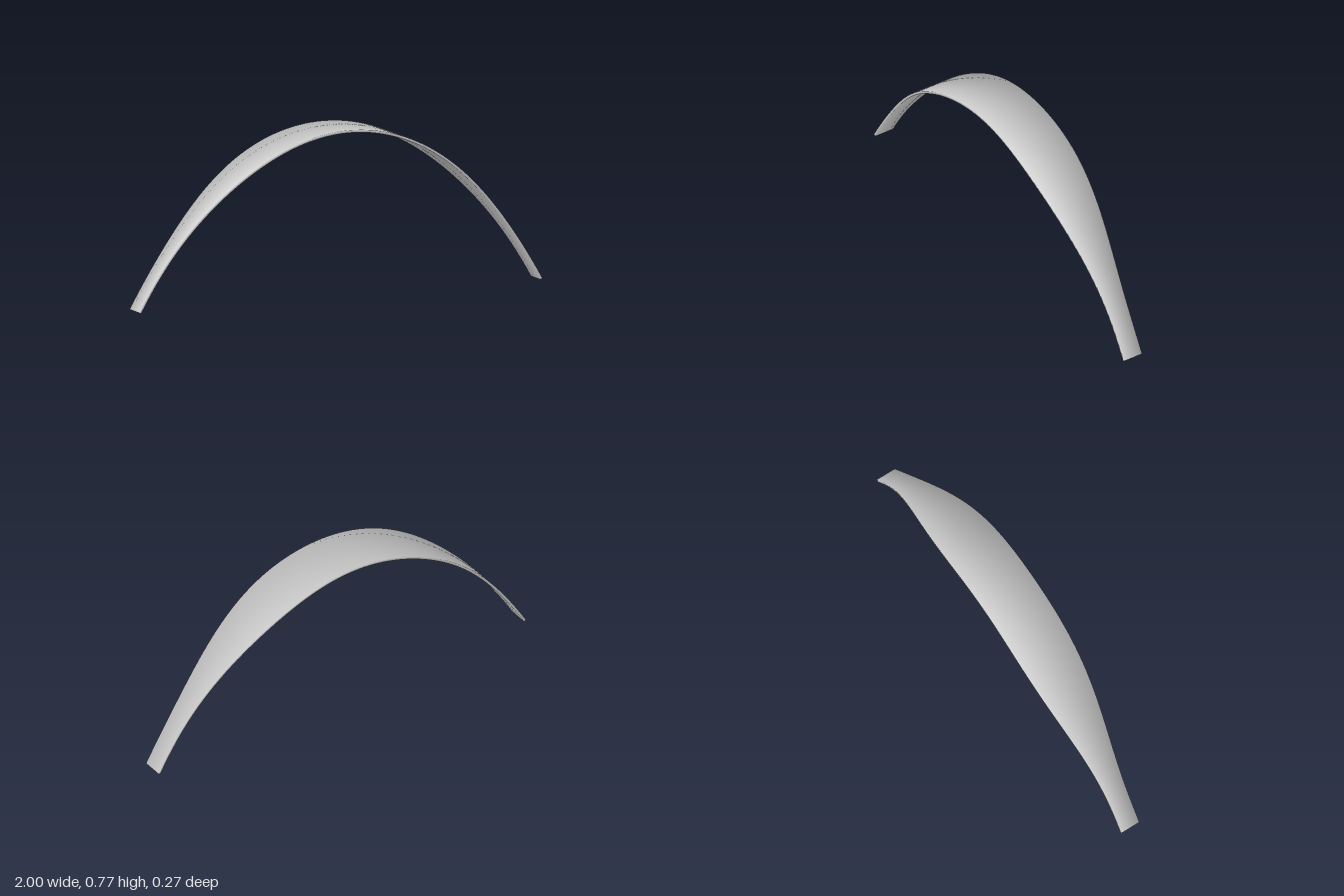
import * as THREE from 'three';

const SEGMENTS = 72;
const HALF_THICKNESS = 0.006;

// Centre line of the arch, in the x-y plane.
const arch = new THREE.CubicBezierCurve3(
  new THREE.Vector3(-0.995, 0.003, 0),
  new THREE.Vector3(-0.417, 1.015, 0),
  new THREE.Vector3(0.417, 1.015, 0),
  new THREE.Vector3(0.995, 0.003, 0)
);

// Half width: narrow at both feet, swelling smoothly towards the crown.
function halfWidth(t) {
  const rise = Math.pow(4 * t * (1 - t), 1.5);
  return 0.048 + 0.087 * THREE.MathUtils.smoothstep(rise, 0, 1);
}

// Corners of the flat cross-section, as [outward sign, z sign].
const CORNERS = [[1, 1], [1, -1], [-1, -1], [-1, 1]];

function bandGeometry() {
  const positions = [], normals = [], index = [];

  const addRing = (t, capDirection) => {
    const centre = arch.getPoint(t);
    const tangent = arch.getTangent(t);
    const out = new THREE.Vector3(-tangent.y, tangent.x, 0);
    const first = positions.length / 3;
    for (const [o, s] of CORNERS) {
      const p = centre.clone().addScaledVector(out, o * HALF_THICKNESS);
      positions.push(p.x, p.y, s * halfWidth(t));
      // The edges are softened; the end caps stay flat.
      const n = capDirection
        ? tangent.clone().multiplyScalar(capDirection)
        : out.clone().multiplyScalar(o).setZ(s).normalize();
      normals.push(n.x, n.y, n.z);
    }
    return first;
  };

  // Long faces
  for (let i = 0; i <= SEGMENTS; i++) {
    const b = addRing(i / SEGMENTS, 0);
    if (i === 0) continue;
    const a = b - 4;
    for (let j = 0; j < 4; j++) {
      const k = (j + 1) % 4;
      index.push(a + j, b + j, a + k, b + j, b + k, a + k);
    }
  }

  // End caps
  const s = addRing(0, -1);
  index.push(s, s + 1, s + 2, s, s + 2, s + 3);
  const e = addRing(1, 1);
  index.push(e, e + 2, e + 1, e, e + 3, e + 2);

  const geometry = new THREE.BufferGeometry();
  geometry.setAttribute('position', new THREE.Float32BufferAttribute(positions, 3));
  geometry.setAttribute('normal', new THREE.Float32BufferAttribute(normals, 3));
  geometry.setIndex(index);
  return geometry;
}

export function createModel() {
  const model = new THREE.Group();
  model.name = 'archedBand';
  const band = new THREE.Mesh(
    bandGeometry(),
    new THREE.MeshStandardMaterial({ color: 0xcccccc })
  );
  band.name = 'band';
  model.add(band);
  return model;
}
